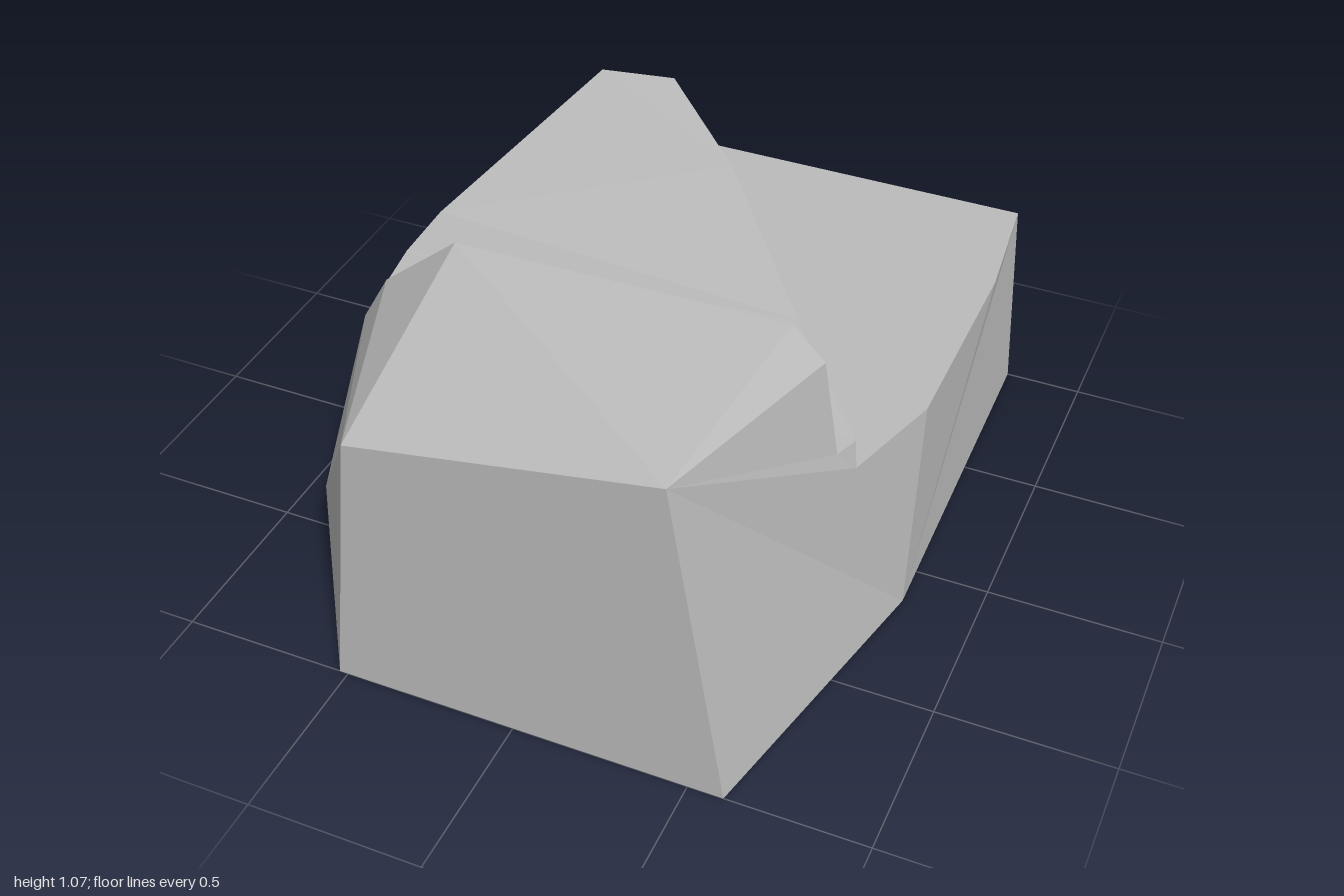
import * as THREE from 'three';

// Corner points of the stepped boulder
const P = {
  // footprint
  f1: [0.6, 0, 1], f2: [0.79, 0, 0.13], f3: [0.77, 0, -1], f4: [-0.46, 0, -1],
  f5: [-0.5, 0, -0.66], f6: [-0.68, 0, -0.02], f7: [-0.745, 0, 0.39], f8: [-0.525, 0, 1],
  // raised front block
  frontL: [0.44, 0.985, 1], frontR: [-0.435, 0.825, 1], bulge: [-0.75, 0.3, 0.64],
  crest1: [0.61, 0.98, 0.4], crest2: [0.52, 1.07, 0.4],
  crest3: [-0.42, 1.06, 0.4], crest4: [-0.64, 0.88, 0.4],
  // middle shelf
  s1: [0.655, 0.7, 0.4], s2: [0.68, 0.7, 0.33], s3: [0.37, 0.725, -0.07],
  s4: [-0.06, 0.78, -0.65], s5: [-0.4, 0.82, -1], s6: [-0.65, 0.795, -1],
  s7: [-0.79, 0.72, -0.16], s8: [-0.78, 0.723, 0.06], s9: [-0.72, 0.737, 0.4],
  // low terrace
  t1: [0.69, 0.62, 0.34], t2: [0.78, 0.61, 0.02], t3: [0.78, 0.61, -0.62], t4: [0.74, 0.61, -1],
  t5: [-0.4, 0.61, -1], t6: [-0.06, 0.61, -0.65], t7: [0.37, 0.61, -0.07],
  // undercut back corner
  u1: [-0.7, 0.55, -1], u2: [-0.555, 0.36, -1],
};

// Each part: name, outward direction, polygons (fanned from their first corner)
const PARTS = [
  ['underside', [0, -1, 0], ['f1 f2 f3 f4 f5 f6 f7 f8']],
  ['frontFace', [0, 0, 1], ['f1 frontL frontR f8']],
  ['blockTop', [0, 1, 0.2], ['frontL crest2 crest3 frontR']],
  ['blockRightSlope', [-1, 0.5, 0.5], ['frontR crest3 crest4 s9 bulge f8', 'bulge f7 f8']],
  ['blockBackWall', [0, 0, -1], ['s1 crest1 crest2 crest3 crest4 s9']],
  ['leftSide', [1, 0.1, 0.2], ['frontL f1 f2 t1 s1 crest1 crest2', 't1 s2 s1', 'f2 t2 t1', 'f2 f3 t4 t3 t2']],
  ['shelfTop', [0, 1, 0], ['s6 s5 s4', 's7 s6 s4 s3 s8', 's8 s3 s2 s1 s9']],
  ['stepWall', [1, 0, -0.8], ['t5 t6 s4 s5', 't6 t7 s3 s4', 't7 t1 s2 s3']],
  ['terraceTop', [0, 1, 0], ['t4 t5 t6 t7', 't4 t7 t3', 't3 t7 t2', 't2 t7 t1']],
  ['backFace', [0, 0, -1], ['u2 f4 f3 t4 t5', 'u2 t5 u1', 't5 s5 s6 u1']],
  ['rightSide', [-1, 0, -0.2], ['s7 s6 u1 f7 s8', 's8 s9 bulge f7', 'u1 f7 f6 f5 u2', 'u2 f5 f4']],
];

function facets(outward, polygons) {
  const out = new THREE.Vector3(...outward);
  const positions = [];
  for (const polygon of polygons) {
    const v = polygon.split(' ').map((key) => new THREE.Vector3(...P[key]));
    for (let i = 1; i < v.length - 1; i++) {
      const tri = [v[0], v[i], v[i + 1]];
      const normal = new THREE.Triangle(...tri).getNormal(new THREE.Vector3());
      // turn the corners so the face looks outward
      if (normal.dot(out) < 0) tri.reverse();
      tri.forEach((p) => positions.push(p.x, p.y, p.z));
    }
  }
  const geometry = new THREE.BufferGeometry();
  geometry.setAttribute('position', new THREE.Float32BufferAttribute(positions, 3));
  geometry.computeVertexNormals();
  return geometry;
}

export function createModel() {
  const group = new THREE.Group();
  group.name = 'steppedRock';
  const stone = new THREE.MeshStandardMaterial({ color: 0xbcbcbc });
  stone.name = 'stone grey';
  for (const [name, outward, polygons] of PARTS) {
    const mesh = new THREE.Mesh(facets(outward, polygons), stone);
    mesh.name = name;
    group.add(mesh);
  }
  return group;
}
